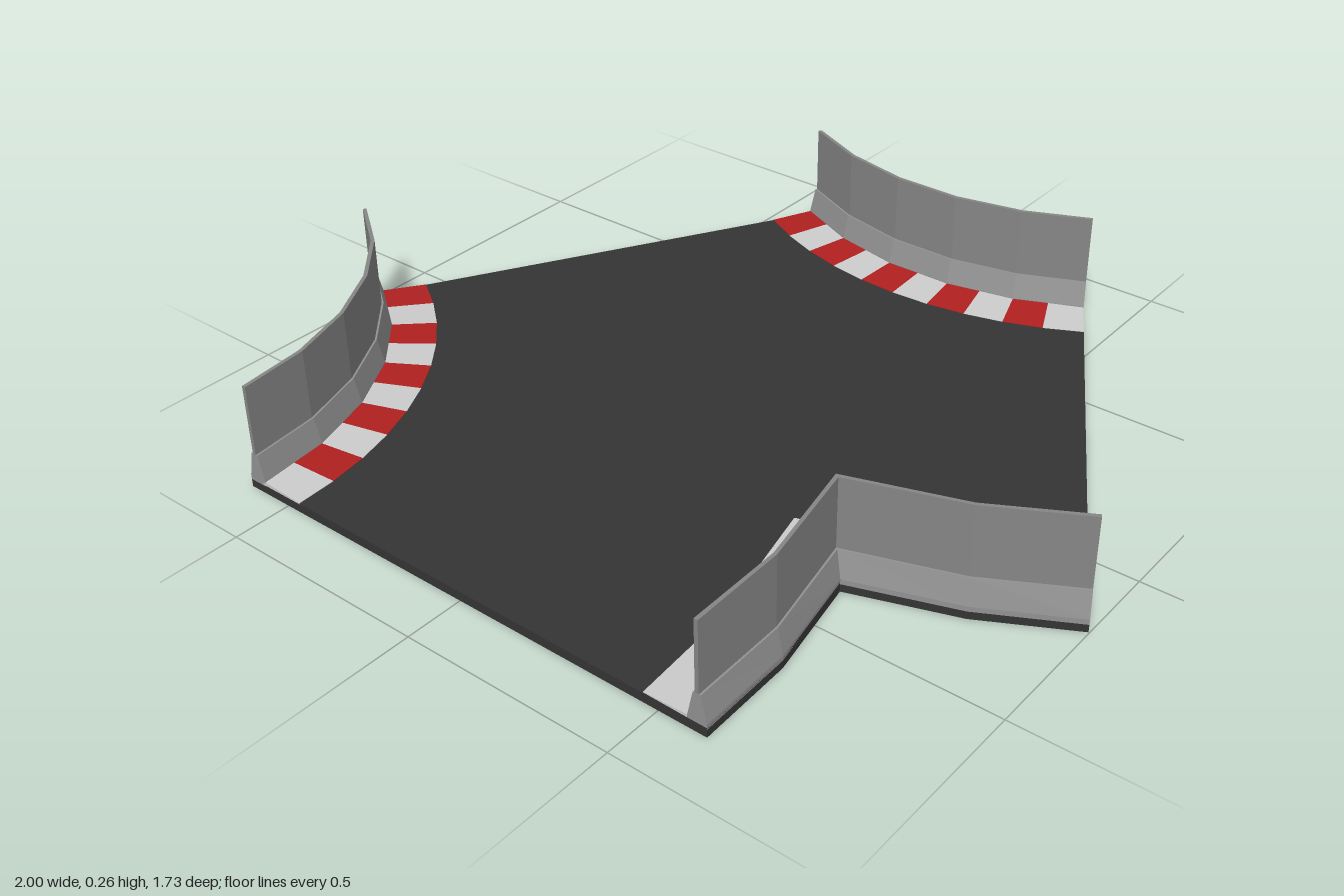
import * as THREE from 'three';

const mat = (name, color) => Object.assign(new THREE.MeshStandardMaterial({ color }), { name });
const asphalt = mat('asphalt', 0x343434);
const red = mat('kerb red', 0xb02020);
const white = mat('kerb white', 0xcccccc);
const concrete = mat('concrete', 0x929292);
const steel = mat('fence grey', 0x868686);

const TOP = 0.022, CZ = 0.065, ARC_Z = -1.597;

// Sweep a convex profile of [t, y] between two edges: t = 0 outer edge, t = 1 inner edge
function sweep(name, outer, inner, profile, material) {
  const rows = outer.map((o, i) => profile.map(([t, y]) =>
    [o[0] + (inner[i][0] - o[0]) * t, y, o[1] + (inner[i][1] - o[1]) * t]));
  const n = profile.length, out = [];
  const tri = (...p) => p.forEach(v => out.push(...v));
  for (let i = 0; i + 1 < rows.length; i++) {
    for (let j = 0; j < n; j++) {
      const k = (j + 1) % n, r = rows[i], s = rows[i + 1];
      tri(r[j], r[k], s[k]);
      tri(r[j], s[k], s[j]);
    }
  }
  const first = rows[0], last = rows[rows.length - 1];
  for (let k = 1; k + 1 < n; k++) {
    tri(first[0], first[k + 1], first[k]);
    tri(last[0], last[k], last[k + 1]);
  }
  const g = new THREE.BufferGeometry();
  g.setAttribute('position', new THREE.Float32BufferAttribute(out, 3));
  g.computeVertexNormals();
  const mesh = new THREE.Mesh(g, material);
  mesh.name = name;
  return mesh;
}

// Points along a 60 degree arc, from -x to +x
const arc = (r, steps) => Array.from({ length: steps + 1 }, (_, i) => {
  const a = (-30 + 60 * i / steps) * Math.PI / 180;
  return [r * Math.sin(a), ARC_Z + r * Math.cos(a)];
});
// Mirror a half path that starts at its -x end and stops on the centre
const mirror = half => [...half, ...half.slice(0, -1).reverse().map(([x, z]) => [-x, z])];

const barrierProfile = [[0, TOP - 0.004], [0, TOP + 0.008], [0.3, 0.09], [0.7, 0.09], [1, TOP + 0.008], [1, TOP - 0.004]];
const fenceProfile = [[0.4, 0.085], [0.4, 0.256], [0.6, 0.256], [0.6, 0.085]];
const kerbProfile = [[0, TOP - 0.002], [0, TOP + 0.007], [1, TOP + 0.001], [1, TOP - 0.002]];

const curvedOuter = arc(0.77, 5), curvedInner = arc(0.815, 5);
const cornerOuter = mirror([[-0.385, -0.93], [-0.19, -0.81], [0, -0.645]]);
const cornerInner = mirror([[-0.4075, -0.891], [-0.21, -0.775], [0, -0.585]]);

function addWall(group, outer, inner) {
  group.add(sweep('barrier', outer, inner, barrierProfile, concrete));
  group.add(sweep('fence', outer, inner, fenceProfile, steel));
}

function curvedSide(name, redFirst) {
  const g = new THREE.Group();
  g.name = name;
  addWall(g, curvedOuter, curvedInner);
  const a = arc(0.808, 10), b = arc(0.92, 10);
  for (let i = 0; i < 10; i++) {
    const m = (i % 2 === 0) === redFirst ? red : white;
    g.add(sweep('kerbBlock', a.slice(i, i + 2), b.slice(i, i + 2), kerbProfile, m));
  }
  return g;
}

function cornerSide(name) {
  const g = new THREE.Group();
  g.name = name;
  addWall(g, cornerOuter, cornerInner);
  const a = mirror([[-0.4075, -0.891], [-0.22, -0.784], [-0.055, -0.64], [0, -0.588]]);
  const b = mirror([[-0.4585, -0.8], [-0.292, -0.686], [-0.153, -0.564], [0, -0.42]]);
  // White ends, red blocks and one white block folded round the corner
  [[0, 1, white], [1, 2, red], [2, 4, white], [4, 5, red], [5, 6, white]].forEach(([s, e, m]) =>
    g.add(sweep('kerbBlock', a.slice(s, e + 1), b.slice(s, e + 1), kerbProfile, m)));
  return g;
}

export function createModel() {
  const model = new THREE.Group();
  model.name = 'trackJunction';

  // Three sides, each turned a third of a circle about the junction centre
  const third = 2 * Math.PI / 3;
  const sides = [
    [curvedSide('rightSide', false), third, curvedOuter],
    [curvedSide('backSide', true), 0, curvedOuter],
    [cornerSide('leftSide'), -third, cornerOuter],
  ];
  const outline = [];
  for (const [side, angle, path] of sides) {
    side.rotation.y = angle;
    side.position.z = CZ;
    model.add(side);
    const c = Math.cos(angle), s = Math.sin(angle);
    path.forEach(([x, z]) => outline.push(new THREE.Vector2(x * c + z * s, x * s - z * c - CZ)));
  }

  // Road slab bounded by the outer edges of the three barriers
  const slab = new THREE.ExtrudeGeometry(new THREE.Shape(outline), { depth: TOP, bevelEnabled: false });
  slab.rotateX(-Math.PI / 2);
  const road = new THREE.Mesh(slab, asphalt);
  road.name = 'roadSlab';
  model.add(road);
  return model;
}
